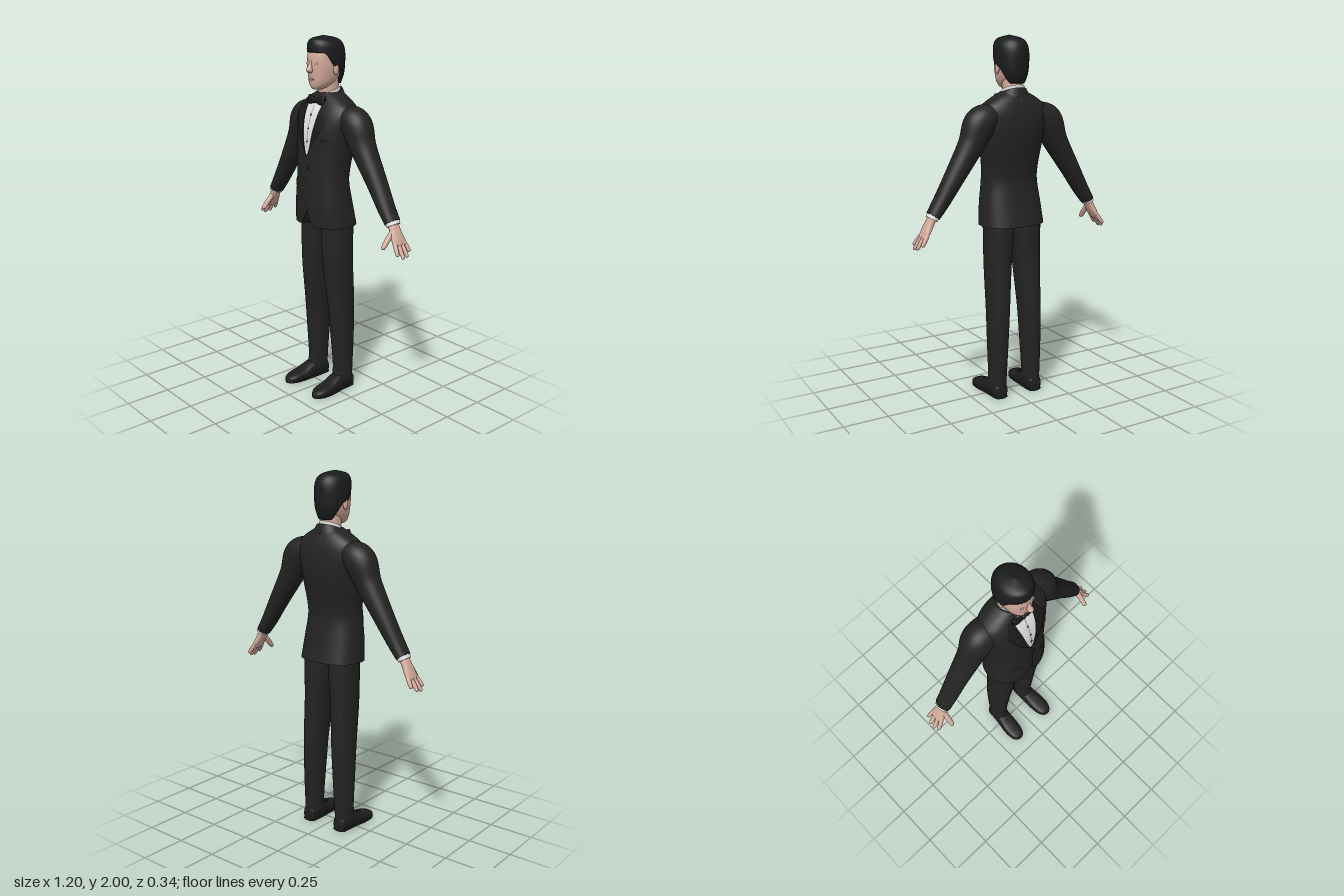
import * as THREE from 'three';

const V = (x, y, z) => new THREE.Vector3(x, y, z);
const X = V(1, 0, 0), Y = V(0, 1, 0), Z = V(0, 0, 1), DOWN = V(0, -1, 0);

// Skins closed rings of points, with optional separate end caps
function loft(rings, caps = true) {
  const pos = [], idx = [], n = rings[0].length;
  rings.forEach(r => r.forEach(p => pos.push(p.x, p.y, p.z)));
  for (let i = 0; i < rings.length - 1; i++) {
    for (let j = 0; j < n; j++) {
      const k = (j + 1) % n, a = i * n + j, b = i * n + k;
      idx.push(a, b, b + n, a, b + n, a + n);
    }
  }
  if (caps) [rings[0], rings.at(-1)].forEach((r, end) => {
    const base = pos.length / 3, c = V(0, 0, 0);
    r.forEach(p => { pos.push(p.x, p.y, p.z); c.addScaledVector(p, 1 / n); });
    pos.push(c.x, c.y, c.z);
    for (let j = 0; j < n; j++) {
      const a = base + j, b = base + (j + 1) % n;
      idx.push(base + n, end ? a : b, end ? b : a);
    }
  });
  return finish(pos, idx);
}

function finish(pos, idx) {
  const g = new THREE.BufferGeometry();
  g.setAttribute('position', new THREE.Float32BufferAttribute(pos, 3));
  g.setIndex(idx);
  g.computeVertexNormals();
  return g;
}

// Smooth curves through sections [x, y, z, halfWidth, halfDepth]
function curves(secs) {
  const make = pts => new THREE.CatmullRomCurve3(pts, false, 'catmullrom', 0.5);
  return [make(secs.map(s => V(s[0], s[1], s[2]))), make(secs.map(s => V(s[3], s[4], 0)))];
}

const power = (v, e) => Math.sign(v) * Math.abs(v) ** (2 / e);

function limb(secs, { hint = Z, axis = null, e = 2, n = 24, steps = 24 } = {}) {
  const [path, size] = curves(secs), rings = [];
  for (let i = 0; i <= steps; i++) {
    const t = i / steps, c = path.getPoint(t), s = size.getPoint(t);
    const w = axis || path.getTangent(t);
    const v = hint.clone().addScaledVector(w, -w.dot(hint)).normalize();
    const u = w.clone().cross(v);
    rings.push(Array.from({ length: n }, (_, j) => {
      const a = j / n * Math.PI * 2;
      return c.clone().addScaledVector(u, s.x * power(Math.sin(a), e)).addScaledVector(v, s.y * power(Math.cos(a), e));
    }));
  }
  return loft(rings);
}

// Horizontal section from its half width, front z and back z
const level = (y, a, zf, zb) => [0, y, (zf + zb) / 2, a, (zf - zb) / 2];

function ball(x, y, z, rx, ry, rz) {
  return new THREE.SphereGeometry(1, 20, 14).scale(rx, ry, rz).translate(x, y, z);
}

function mirrored(geo) {
  const g = geo.clone().scale(-1, 1, 1), a = g.index.array;
  for (let i = 0; i < a.length; i += 3) [a[i], a[i + 1]] = [a[i + 1], a[i]];
  return g;
}

// Moves vertices by a rule
function shape(geo, rule) {
  const p = geo.attributes.position, v = V(0, 0, 0);
  for (let i = 0; i < p.count; i++) {
    rule(v.fromBufferAttribute(p, i));
    p.setXYZ(i, v.x, v.y, v.z);
  }
  geo.computeVertexNormals();
  return geo;
}

const torso = [
  level(0.985, 0.185, 0.115, -0.165), level(1.1, 0.175, 0.118, -0.14), level(1.22, 0.16, 0.115, -0.12),
  level(1.3, 0.16, 0.113, -0.128), level(1.4, 0.173, 0.107, -0.145), level(1.5, 0.188, 0.1, -0.158),
  level(1.58, 0.2, 0.08, -0.155), level(1.63, 0.185, 0.057, -0.145), level(1.67, 0.135, 0.035, -0.13),
  level(1.705, 0.07, 0.012, -0.11)];
const TORSO_E = 2.3;
const [torsoPath, torsoSize] = curves(torso);

// Front surface of the torso
function chestZ(x, y) {
  let lo = 0, hi = 1;
  for (let i = 0; i < 24; i++) {
    const m = (lo + hi) / 2;
    if (torsoPath.getPoint(m).y < y) lo = m; else hi = m;
  }
  const s = torsoSize.getPoint(lo);
  return torsoPath.getPoint(lo).z + s.y * Math.max(0, 1 - Math.abs(x / s.x) ** TORSO_E) ** (1 / TORSO_E);
}

// Thin panel lying on the chest between two edge functions
function panel(y0, y1, left, right, off) {
  const pos = [], idx = [], R = 28, C = 10;
  for (let i = 0; i <= R; i++) {
    const y = y0 + (y1 - y0) * i / R;
    for (let j = 0; j <= C; j++) {
      const x = left(y) + (right(y) - left(y)) * j / C, a = i * (C + 1) + j;
      pos.push(x, y, chestZ(x, y) + off);
      if (i < R && j < C) idx.push(a, a + 1, a + C + 2, a, a + C + 2, a + C + 1);
    }
  }
  return finish(pos, idx);
}

export function createModel() {
  const model = new THREE.Group();
  const mat = (name, color, side = THREE.FrontSide) => {
    const m = new THREE.MeshStandardMaterial({ color, side });
    m.name = name;
    return m;
  };
  const suit = mat('suit black', 0x232323, THREE.DoubleSide), satin = mat('satin black', 0x1a1a1a, THREE.DoubleSide);
  const hairMat = mat('hair black', 0x1a1b1c, THREE.DoubleSide), leather = mat('shoe black', 0x1d1d1d);
  const skin = mat('skin', 0xd3ab9b), white = mat('shirt white', 0xe4e2e0, THREE.DoubleSide);
  const grey = mat('placket grey', 0x9a9896, THREE.DoubleSide);
  const eyeMat = mat('eye white', 0xe0cfc8), lipMat = mat('lips', 0xbd8c80);

  const add = (name, geo, m) => {
    const mesh = new THREE.Mesh(geo, m);
    mesh.name = name;
    model.add(mesh);
  };
  const pair = (name, geo, m) => {
    add(name + 'Left', geo, m);
    add(name + 'Right', mirrored(geo), m);
  };

  // Jacket body with cutaway front hem
  add('jacket', shape(limb(torso, { axis: Y, e: TORSO_E, n: 96, steps: 48 }), v => {
    if (v.z > 0 && v.y < 1.12) v.y += 0.09 * Math.max(0, 1 - Math.abs(v.x) / 0.06) ** 2 * (1.12 - v.y) / 0.135;
  }), suit);

  // Shirt front, placket, studs and lapels
  const opening = y => 0.058 * Math.max(0, (y - 1.372) / 0.28) ** 0.6;
  const lapelEdge = y => {
    const k = [[1.372, 0.006], [1.5, 0.085], [1.595, 0.125], [1.61, 0.108], [1.67, 0.085]];
    const i = Math.max(1, k.findIndex(q => q[0] >= y - 1e-6));
    return THREE.MathUtils.mapLinear(y, k[i - 1][0], k[i][0], k[i - 1][1], k[i][1]);
  };
  add('shirtFront', panel(1.372, 1.675, y => -opening(y), opening, 0.003), white);
  add('placket', panel(1.41, 1.64, () => -0.003, () => 0.003, 0.005), grey);
  for (const y of [1.45, 1.52, 1.59]) add('stud', ball(0, y, chestZ(0, y) + 0.005, 0.005, 0.005, 0.003), satin);
  pair('lapel', panel(1.372, 1.67, opening, lapelEdge, 0.007), satin);
  add('jacketEdge', panel(1.08, 1.372, () => -0.002, () => 0.003, 0.003), satin);
  add('jacketButton', ball(0.012, 1.31, chestZ(0.012, 1.31) + 0.003, 0.009, 0.009, 0.004), satin);
  pair('pocketFlap', panel(1.19, 1.222, () => 0.075, () => 0.135, 0.004), suit);
  add('breastPocket', panel(1.455, 1.475, () => 0.085, () => 0.135, 0.004), satin);

  // Neck and tilted collars
  const tilt = v => { v.y -= (v.z + 0.045) * 0.35; };
  add('neck', limb([[0, 1.65, -0.045, 0.054, 0.055], [0, 1.79, -0.035, 0.054, 0.058]], { axis: Y }), skin);
  add('shirtCollar', shape(limb([[0, 1.65, -0.042, 0.068, 0.064], [0, 1.722, -0.046, 0.06, 0.06]], { axis: Y, n: 36 }), tilt), white);
  add('jacketCollar', shape(limb([[0, 1.65, -0.055, 0.1, 0.075], [0, 1.685, -0.055, 0.08, 0.066], [0, 1.704, -0.055, 0.069, 0.061]],
    { axis: Y, n: 36 }), tilt), suit);

  // Bow tie
  pair('bowWing', limb([[0.004, 1.663, 0.047, 0.011, 0.009], [0.03, 1.663, 0.047, 0.02, 0.012],
    [0.057, 1.663, 0.041, 0.028, 0.012], [0.066, 1.663, 0.039, 0.024, 0.005]], { axis: X, e: 2.6 }), satin);
  add('bowKnot', ball(0, 1.663, 0.05, 0.013, 0.015, 0.013), satin);

  // Sleeves, cuffs and hands
  pair('sleeve', limb([[0.12, 1.6, -0.05, 0.055, 0.07], [0.205, 1.545, -0.055, 0.088, 0.084], [0.265, 1.43, -0.056, 0.07, 0.07],
    [0.365, 1.27, -0.058, 0.054, 0.058], [0.44, 1.15, -0.056, 0.044, 0.051], [0.49, 1.078, -0.056, 0.036, 0.047]],
    { n: 32, steps: 40 }), suit);
  pair('cuff', limb([[0.484, 1.088, -0.056, 0.032, 0.042], [0.499, 1.063, -0.056, 0.031, 0.041]]), white);
  pair('palm', limb([[0.494, 1.072, -0.056, 0.022, 0.029], [0.513, 1.035, -0.055, 0.021, 0.034], [0.532, 1.0, -0.055, 0.018, 0.042],
    [0.548, 0.972, -0.057, 0.013, 0.044], [0.553, 0.963, -0.057, 0.006, 0.038]], { e: 2.4 }), skin);
  const tips = [[0.583, 0.925, -0.008, -0.024], [0.595, 0.908, -0.038, -0.046], [0.592, 0.912, -0.07, -0.068], [0.575, 0.932, -0.102, -0.089]];
  const finger = (a, b, r) => {
    const at = (t, s) => [...a.map((v, i) => v + (b[i] - v) * t), r * s, r * s];
    return limb([at(0, 1), at(0.5, 1.02), at(0.88, 0.85), at(0.97, 0.55), at(1, 0.1)], { n: 12, steps: 14 });
  };
  for (const [x, y, z, z0] of tips) pair('finger', finger([0.54, 0.985, z0], [x, y, z], 0.0115), skin);
  pair('thumb', finger([0.51, 1.035, -0.035], [0.514, 0.955, 0.036], 0.0145), skin);

  // Trousers
  pair('trouserLeg', limb([[0.085, 1.08, -0.03, 0.083, 0.085], [0.084, 0.97, -0.033, 0.082, 0.092], [0.092, 0.75, -0.035, 0.07, 0.09],
    [0.101, 0.5, -0.052, 0.059, 0.082], [0.106, 0.3, -0.058, 0.054, 0.07], [0.109, 0.14, -0.06, 0.049, 0.06],
    [0.11, 0.06, -0.053, 0.047, 0.064]], { axis: DOWN, e: 2.2, n: 32, steps: 40 }), suit);

  // Shoes: [z, x, height, half width]
  const last = [[-0.12, 0.111, 0.05, 0.022], [-0.105, 0.111, 0.085, 0.039], [-0.03, 0.112, 0.1, 0.044], [0.01, 0.115, 0.088, 0.046],
    [0.06, 0.119, 0.063, 0.05], [0.12, 0.122, 0.05, 0.046], [0.155, 0.123, 0.038, 0.031], [0.17, 0.123, 0.02, 0.01]];
  const shoe = (height, grow) => limb(last.map(([z, x, h, a]) => {
    const k = height || h;
    return [x, k / 2, z, a + grow, k / 2];
  }), { axis: Z, hint: Y, e: 2.7, steps: 32 });
  pair('shoe', shoe(0, 0), leather);
  pair('sole', shoe(0.014, 0.002), satin);

  // Head and face
  add('head', limb([level(1.722, 0.022, 0.06, 0.01), level(1.735, 0.042, 0.071, -0.03), level(1.76, 0.061, 0.077, -0.07),
    level(1.79, 0.071, 0.08, -0.095), level(1.83, 0.078, 0.083, -0.108), level(1.87, 0.08, 0.083, -0.112),
    level(1.91, 0.079, 0.078, -0.11), level(1.95, 0.066, 0.06, -0.095), level(1.98, 0.03, 0.02, -0.05)],
    { axis: Y, e: 2.15, n: 40, steps: 40 }), skin);
  add('nose', limb([[0, 1.878, 0.077, 0.007, 0.006], [0, 1.848, 0.085, 0.01, 0.012], [0, 1.825, 0.092, 0.016, 0.019],
    [0, 1.811, 0.084, 0.012, 0.01]], { axis: DOWN }), skin);
  add('lips', ball(0, 1.777, 0.077, 0.022, 0.006, 0.006), lipMat);
  pair('eye', ball(0.031, 1.857, 0.0745, 0.014, 0.006, 0.005), eyeMat);
  pair('ear', ball(0.084, 1.828, -0.022, 0.01, 0.03, 0.018).rotateZ(0), skin);

  // Hair: a cap whose lower edge follows the hairline
  const [hairPath, hairSize] = curves([level(1.74, 0.066, 0.055, -0.106), level(1.8, 0.085, 0.07, -0.126), level(1.86, 0.092, 0.078, -0.131),
    level(1.92, 0.092, 0.084, -0.13), level(1.96, 0.082, 0.083, -0.116), level(1.985, 0.055, 0.066, -0.084), level(2.0, 0.004, 0.0, -0.01)]);
  const step = THREE.MathUtils.smoothstep, N = 64, ROWS = 30, hair = [];
  const samples = Array.from({ length: 401 }, (_, i) => i / 400).map(t => [hairPath.getPoint(t), hairSize.getPoint(t)]);
  for (let i = -1; i <= ROWS; i++) {
    hair.push(Array.from({ length: N }, (_, j) => {
      const a = j / N * Math.PI * 2, side = Math.min(a, Math.PI * 2 - a);
      const edge = 1.915 - 0.075 * step(side, 0.8, 1.5) - 0.092 * step(side, 1.65, 2.5);
      const s = Math.max(0, i) / ROWS, y = edge + (2 - edge) * (1 - (1 - s) ** 1.6);
      const [c, r] = samples.find(q => q[0].y >= y - 1e-6) || samples.at(-1);
      const k = i < 0 ? 0.84 : 1;
      return V(k * r.x * Math.sin(a), y, c.z + k * r.y * Math.cos(a));
    }));
  }
  add('hair', loft(hair), hairMat);

  return model;
}
